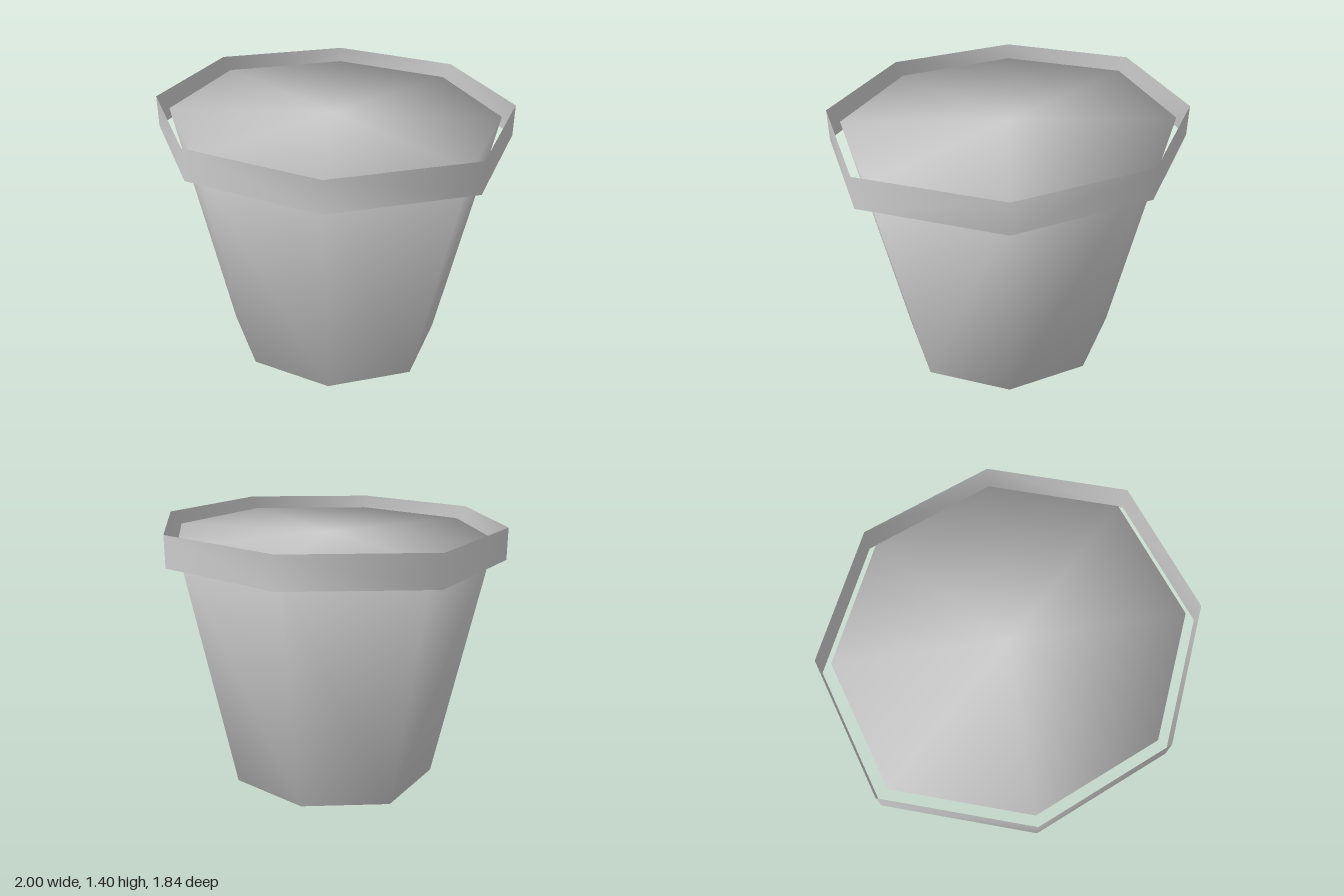
import * as THREE from 'three';

// Slightly squashed octagon, one corner on each axis
function ring(scale, y) {
  const quarter = [[1, 0], [0.67, 0.655], [0, 0.92], [-0.67, 0.655]];
  const half = quarter.map(([x, z]) => [x * scale, y, z * scale]);
  return [...half, ...half.map(([x, h, z]) => [-x, h, -z])];
}

// Smooth wall between two octagons, optionally closed by a cap at each end
function loft(bottom, top, capped) {
  const n = bottom.length;
  const points = [...bottom, ...top, [0, bottom[0][1], 0], [0, top[0][1], 0]];
  const index = [];
  for (let i = 0; i < n; i++) {
    const j = (i + 1) % n;
    // diagonals mirror from quadrant to quadrant
    if (Math.floor(i / 2) % 2) index.push(i, n + i, j, j, n + i, n + j);
    else index.push(i, n + j, j, i, n + i, n + j);
    if (capped) index.push(2 * n, i, j, 2 * n + 1, n + j, n + i);
  }
  const geometry = new THREE.BufferGeometry();
  geometry.setAttribute('position', new THREE.Float32BufferAttribute(points.flat(), 3));
  geometry.setIndex(index);
  geometry.computeVertexNormals();
  return geometry;
}

export function createModel() {
  const group = new THREE.Group();
  group.name = 'plantPot';
  const material = new THREE.MeshStandardMaterial({ color: 0xcccccc, side: THREE.DoubleSide });

  // Tapered, closed pot
  const body = new THREE.Mesh(loft(ring(0.635, 0), ring(0.932, 1.34), true), material);
  body.name = 'potBody';

  // Thin upright band standing just clear of the pot
  const rim = new THREE.Mesh(loft(ring(1, 1.24), ring(1, 1.405), false), material);
  rim.name = 'rimBand';

  group.add(body, rim);
  return group;
}
